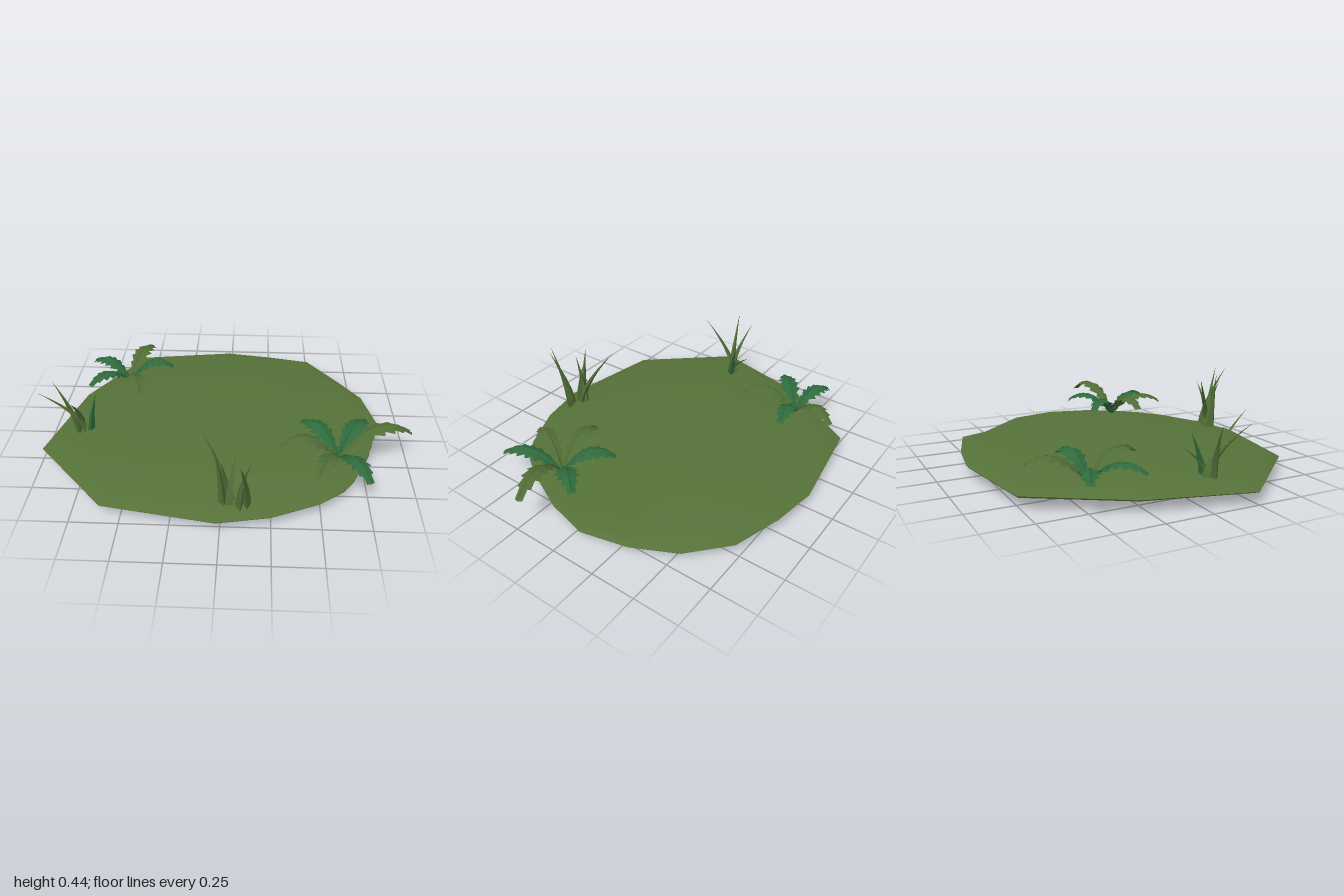
import * as THREE from 'three';

const mat = (name, color, extra = {}) => {
  const m = new THREE.MeshStandardMaterial({ color, side: THREE.DoubleSide, ...extra });
  m.name = name;
  return m;
};

// Outline of the ground patch: x, z, upper rim height, lower rim height
const OUTLINE = [
  [-0.02, -0.85, 0.07, 0.06], [0.24, -0.81, 0.07, 0.06], [0.5, -0.73, 0.085, 0.055], [0.69, -0.54, 0.05, 0.04],
  [0.8, -0.3, 0.09, 0.03], [0.86, -0.04, 0.09, 0.03], [0.8, 0.2, 0.09, 0.03], [0.69, 0.44, 0.08, 0.04],
  [0.63, 0.53, 0.075, 0.05], [0.5, 0.64, 0.07, 0.06], [0.25, 0.75, 0.07, 0.06], [-0.02, 0.8, 0.07, 0.06],
  [-0.6, 0.7, 0.068, 0.06], [-1, 0.25, 0.064, 0.058], [-0.86, -0.3, 0.068, 0.06], [-0.57, -0.77, 0.07, 0.06],
];

function indexed(pos, idx) {
  const g = new THREE.BufferGeometry();
  g.setAttribute('position', new THREE.Float32BufferAttribute(pos, 3));
  g.setIndex(idx);
  g.computeVertexNormals();
  return g;
}

// Join closed rings; each ring is a function from an outline point to [x, y, z]
function loft(rings) {
  const n = OUTLINE.length, pos = [], idx = [];
  rings.forEach((ring, k) => OUTLINE.forEach((p, i) => {
    pos.push(...ring(p));
    if (k === 0) return;
    const a = (k - 1) * n + i, b = (k - 1) * n + (i + 1) % n;
    idx.push(a, a + n, b, b, a + n, b + n);
  }));
  return indexed(pos, idx);
}
const ring = (s, y) => p => [p[0] * s, y, p[1] * s];
const upperRim = p => [p[0], p[2], p[1]];
const lowerRim = p => [p[0] * 0.99, p[3], p[1] * 0.99];
const innerRim = p => {
  const s = 1 - (p[2] - p[3]) * 0.7;
  return [p[0] * s, (p[2] + p[3]) / 2, p[1] * s];
};

// Arched, toothed fern leaf that runs along +x
function leafGeometry(length, height, width) {
  const teeth = 7, rows = [[0, 0.12]], pos = [], idx = [];
  for (let j = 0; j < teeth; j++) {
    const env = t => Math.min(1, 0.2 + t * 1.9) * Math.min(1, 0.32 + (1 - t) * 2);
    const t1 = (j + 0.85) / teeth, t2 = (j + 1) / teeth;
    rows.push([t1, env(t1)], [t2, j === teeth - 1 ? 0 : env(t2) * 0.62]);
  }
  rows.forEach(([t, w], i) => {
    const x = length * t, y = arch(t) * height, h = w * width;
    pos.push(x, y - h * 0.3, -h, x, y, 0, x, y - h * 0.3, h);
    if (i === 0) return;
    for (const k of [0, 1]) {
      const a = (i - 1) * 3 + k;
      idx.push(a, a + 1, a + 3, a + 1, a + 4, a + 3);
    }
  });
  return indexed(pos, idx);
}
const arch = t => 3.226 * t - 2.6 * t * t;

function ribGeometry(length, height) {
  const pts = [0, 0.2, 0.4, 0.6, 0.8, 0.96].map(t => new THREE.Vector3(length * t, arch(t) * height, 0));
  return new THREE.TubeGeometry(new THREE.CatmullRomCurve3(pts), 10, 0.006, 4);
}

// Fern: leaves given as [tip x, tip z, arch height, half width, material]
function fern(name, x, z, leaves) {
  const g = new THREE.Group();
  g.name = name;
  g.position.set(x, 0.095, z);
  for (const [tx, tz, h, w, m] of leaves) {
    const dx = tx - x, dz = tz - z, len = Math.hypot(dx, dz);
    const leaf = new THREE.Group();
    leaf.name = 'fernLeaf';
    leaf.rotation.y = -Math.atan2(dz, dx);
    const blade = new THREE.Mesh(leafGeometry(len, h, w), m);
    blade.name = 'leafBlade';
    const rib = new THREE.Mesh(ribGeometry(len, h), m);
    rib.name = 'leafRib';
    leaf.add(blade, rib);
    g.add(leaf);
  }
  return g;
}

// Grass tuft: three-sided blades that bend from the base out to each tip
function tuft(name, x, z, m, tips) {
  const g = new THREE.Group();
  g.name = name;
  tips.forEach(([tx, ty, tz], i) => {
    const a = i * 2.4, bx = x + Math.cos(a) * 0.022, bz = z + Math.sin(a) * 0.022, by = 0.08;
    const geo = new THREE.ConeGeometry(0.024, 1, 3, 6);
    geo.rotateY(a);
    const p = geo.attributes.position;
    for (let k = 0; k < p.count; k++) {
      const t = p.getY(k) + 0.5, bend = t ** 1.6, full = 1 + 0.6 * t * (1 - t);
      p.setXYZ(k, bx + p.getX(k) * full + (tx - bx) * bend, by + (ty - by) * t, bz + p.getZ(k) * full + (tz - bz) * bend);
    }
    geo.computeVertexNormals();
    const blade = new THREE.Mesh(geo, m);
    blade.name = 'grassBlade';
    g.add(blade);
  });
  return g;
}

export function createModel() {
  const model = new THREE.Group();
  model.name = 'grassPatch';
  const ground = mat('groundGreen', 0x567239);
  const rimMat = mat('rimGreen', 0x567239, { flatShading: true });
  const olive = mat('oliveLeaf', 0x506d36, { flatShading: true });
  const green = mat('deepGreenLeaf', 0x2f6a3c, { flatShading: true });

  // Lens-shaped ground: underside, notched rim and domed top
  const parts = [
    ['groundUnderside', ground, [ring(0, 0), ring(0.5, 0.008), ring(0.85, 0.028), lowerRim]],
    ['groundRim', rimMat, [lowerRim, innerRim, upperRim]],
    ['groundTop', ground, [upperRim, ring(0.88, 0.097), ring(0.5, 0.114), ring(0, 0.12)]],
  ];
  for (const [name, m, rings] of parts) {
    const mesh = new THREE.Mesh(loft(rings), m);
    mesh.name = name;
    model.add(mesh);
  }

  model.add(
    fern('backFern', -0.62, -0.44, [
      [-0.5, -0.72, 0.14, 0.06, olive], [-0.51, -0.13, 0.14, 0.06, olive], [-0.35, -0.48, 0.135, 0.06, green],
      [-0.83, -0.24, 0.12, 0.06, green], [-0.86, -0.54, 0.12, 0.06, green],
    ]),
    fern('frontFern', 0.61, 0.3, [
      [1.0, 0.21, 0.18, 0.06, olive], [0.29, 0.33, 0.145, 0.065, olive], [0.48, 0.59, 0.13, 0.06, olive],
      [0.78, 0.06, 0.13, 0.065, green], [0.42, 0.08, 0.13, 0.065, green], [0.74, 0.6, 0.12, 0.06, green],
    ]),
    tuft('sideTuft', -0.8, 0.11, olive, [
      [-1, 0.4, 0.2], [-0.95, 0.39, 0.07], [-0.79, 0.41, 0.32], [-0.76, 0.25, -0.02],
    ]),
    tuft('sideTuftShoot', -0.78, 0.1, green, [[-0.72, 0.31, 0.05]]),
    tuft('frontTuft', 0.03, 0.67, olive, [
      [-0.1, 0.42, 0.52], [-0.03, 0.43, 0.68], [0.01, 0.38, 0.73], [0.08, 0.38, 0.61],
    ]),
    tuft('frontTuftShoots', 0.11, 0.69, olive, [[0.1, 0.44, 0.84], [0.15, 0.44, 0.8]]),
  );
  return model;
}
